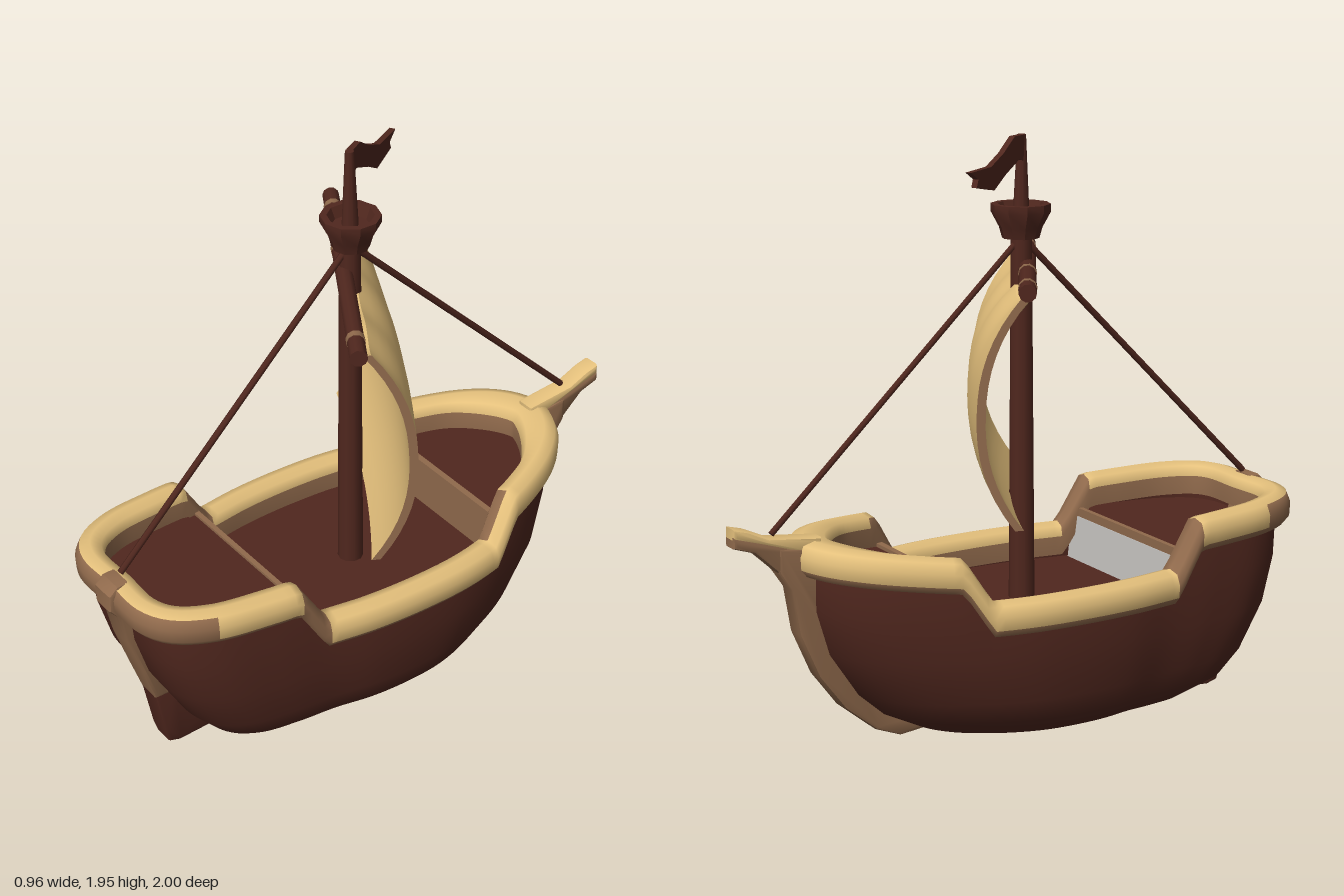
import * as THREE from 'three';
import { toCreasedNormals } from 'three/addons/utils/BufferGeometryUtils.js';

const mat = (name, color) => {
  const m = new THREE.MeshStandardMaterial({ color, side: THREE.DoubleSide });
  m.name = name;
  return m;
};

export function createModel() {
  const wood = mat('dark wood', 0x50271e);
  const tan = mat('pale tan', 0xe4c07c);
  const brown = mat('mid brown', 0x906a4c);
  const grey = mat('light grey', 0xc4c1be);
  const root = new THREE.Group();
  root.name = 'sailingShip';
  const hullGroup = new THREE.Group();
  hullGroup.name = 'hullGroup';
  hullGroup.position.x = -0.02;
  root.add(hullGroup);

  const add = (parent, name, geo, material, pos) => {
    const m = new THREE.Mesh(geo, material);
    m.name = name;
    if (pos) m.position.set(...pos);
    parent.add(m);
    return m;
  };

  // Surface through equally long point rings; pick(j, point) chooses a material slot per face
  const loft = (rings, closed, pick = () => 0) => {
    const n = rings[0].length, slots = [[], []];
    for (let j = 0; j + 1 < rings.length; j++)
      for (let i = 0; i < (closed ? n : n - 1); i++) {
        const k = (i + 1) % n, a = j * n + i, b = j * n + k;
        const mid = rings[j][i].clone().add(rings[j][k]).multiplyScalar(0.5);
        slots[pick(j, mid)].push(a, b, b + n, a, b + n, a + n);
      }
    const g = new THREE.BufferGeometry().setFromPoints(rings.flat());
    g.setIndex(slots.flat());
    g.addGroup(0, slots[0].length, 0);
    g.addGroup(slots[0].length, slots[1].length, 1);
    g.computeVertexNormals();
    return g;
  };

  // Extruded side profile, points given as [z, y]
  const profile = (pts, width, bevel = 0.012) => {
    const g = new THREE.ExtrudeGeometry(new THREE.Shape(pts.map(p => new THREE.Vector2(...p))), {
      depth: width - 2 * bevel, bevelEnabled: true, bevelSize: bevel, bevelThickness: bevel,
      bevelOffset: -bevel, bevelSegments: 2 });
    g.translate(0, 0, bevel - width / 2);
    g.rotateY(-Math.PI / 2);
    return toCreasedNormals(g, 0.6);
  };

  const rod = (parent, name, a, b, r0, r1, material, sides = 10) => {
    const A = new THREE.Vector3(...a), B = new THREE.Vector3(...b), d = B.clone().sub(A);
    const m = add(parent, name, new THREE.CylinderGeometry(r1, r0, d.length(), sides), material);
    m.position.copy(A).add(B).multiplyScalar(0.5);
    m.quaternion.setFromUnitVectors(new THREE.Vector3(0, 1, 0), d.normalize());
  };

  // Plan outline: s runs stern to bow, w is the share of the half width
  const HW = 0.38, ZS = 0.935, ZB = -0.735, N = 160;
  const half = [[0, 0.42], [0.025, 0.63], [0.09, 0.79], [0.2, 0.87], [0.31, 0.91], [0.42, 0.98], [0.54, 1],
    [0.65, 0.97], [0.76, 0.86], [0.86, 0.69], [0.92, 0.54], [0.965, 0.36], [0.99, 0.18]];
  const pt = (s, w) => new THREE.Vector3(w * HW, 0, ZS + (ZB - ZS) * s);
  const curve = new THREE.CatmullRomCurve3([pt(0, 0), ...half.map(([s, w]) => pt(s, w)), pt(1, 0),
    ...half.slice().reverse().map(([s, w]) => pt(s, -w))], true, 'centripetal');
  const outline = curve.getSpacedPoints(N).slice(0, N);

  // Height of the rail centre along the ship
  const sheer = [[1, 0.675], [0.5, 0.655], [0.4, 0.495], [-0.27, 0.49], [-0.36, 0.635], [-0.8, 0.68]];
  const railY = z => {
    const i = Math.max(1, sheer.findIndex(([zs]) => zs <= z));
    const [z0, y0] = sheer[i - 1], [z1, y1] = sheer[i];
    return THREE.MathUtils.mapLinear(z, z0, z1, y0, y1);
  };

  // Hull: layers of [y, stern z, bow z, half width], cut off under the rail
  const layers = [[0.032, 0.1, 0.1, 0.001], [0.035, 0.4, -0.28, 0.2], [0.06, 0.59, -0.38, 0.295],
    [0.12, 0.72, -0.5, 0.36], [0.2, 0.79, -0.59, 0.392], [0.35, 0.875, -0.69, 0.408],
    [0.5, 0.92, -0.735, 0.402], [0.6, 0.93, -0.735, 0.39], [1, ZS, ZB, HW]];
  add(hullGroup, 'hull', loft(layers.map(([y, zs, zb, hw]) => outline.map(p => {
    const z = zs + (zb - zs) * (p.z - ZS) / (ZB - ZS);
    return new THREE.Vector3(p.x * hw / HW, Math.min(y, railY(z)), z);
  })), true), wood);

  // Rail: rounded section swept round the outline, widening inward at the bow
  const section = [[0.03, -0.055], [0.048, -0.032], [0.05, 0.01], [0.036, 0.044], [0, 0.055],
    [-0.036, 0.044], [-0.046, 0.01], [-0.045, -0.055]];
  const railRings = section.map(([u, v]) => outline.map((p, i) => {
    const t = outline[(i + 1) % N].clone().sub(outline[(i + N - 1) % N]).normalize();
    const w = u < 0 ? u * (1 + 0.9 * THREE.MathUtils.smoothstep(-p.z, 0.5, 0.73)) : u;
    return new THREE.Vector3(p.x - t.z * w, railY(p.z) + v, p.z + t.x * w);
  }));
  // Darker on the stern face, the steps and the lower edges
  const railSlot = (j, { z }) => {
    const sternFace = z > 0.8 && j < 3;
    const aftStep = z > 0.4 && z < 0.5;
    const foreStep = z > -0.37 && z < -0.27 && j >= 4;
    return sternFace || aftStep || foreStep || j === 0 || j === 6 ? 1 : 0;
  };
  add(hullGroup, 'rail', loft(railRings, true, railSlot), [tan, brown]);

  // Decks
  const deck = (name, z0, z1, y) => {
    const edge = Math.max(...outline.filter(p => p.z >= z0 && p.z <= z1).map(p => p.x));
    const side = outline.slice(0, N / 2 + 1).map(p =>
      new THREE.Vector3(Math.min(Math.abs(p.x), edge), y, THREE.MathUtils.clamp(p.z, z0, z1)));
    add(hullGroup, name, loft([side, side.map(p => new THREE.Vector3(-p.x, y, p.z))], false), wood);
  };
  deck('mainDeck', -0.34, 0.46, 0.42);
  deck('foreDeck', -0.9, -0.34, 0.58);
  deck('aftDeck', 0.46, 0.95, 0.59);

  // Bulkheads with their trim
  add(hullGroup, 'foreBulkhead', new THREE.BoxGeometry(0.64, 0.16, 0.014), brown, [0, 0.5, -0.34]);
  add(hullGroup, 'foreTrim', new THREE.BoxGeometry(0.64, 0.012, 0.022), brown, [0, 0.586, -0.34]);
  add(hullGroup, 'aftBulkhead', new THREE.BoxGeometry(0.68, 0.17, 0.014), wood, [0, 0.505, 0.46]);
  add(hullGroup, 'aftTrim', new THREE.BoxGeometry(0.68, 0.03, 0.018), brown, [0, 0.584, 0.459]);
  add(hullGroup, 'aftPanel', new THREE.BoxGeometry(0.66, 0.15, 0.009), grey, [0, 0.495, 0.441]).rotation.x = 0.12;

  // Stem, bowsprit, stern post and rudder
  add(hullGroup, 'stem', profile([[-0.3, 0.07], [-0.34, 0.045], [-0.43, 0.035], [-0.52, 0.07], [-0.63, 0.16],
    [-0.72, 0.28], [-0.785, 0.43], [-0.81, 0.58], [-0.85, 0.64], [-0.85, 0.72], [-0.72, 0.7],
    [-0.7, 0.5], [-0.64, 0.35], [-0.52, 0.18], [-0.4, 0.1]], 0.08), brown);
  add(hullGroup, 'bowspritSide', profile([[-0.81, 0.6], [-0.86, 0.65], [-0.93, 0.715], [-1, 0.738], [-1, 0.775],
    [-0.9, 0.745], [-0.76, 0.7]], 0.072), brown);
  add(hullGroup, 'bowspritTop', profile([[-0.76, 0.69], [-0.9, 0.735], [-1, 0.765], [-1, 0.8], [-0.95, 0.787],
    [-0.88, 0.755], [-0.7, 0.735], [-0.7, 0.7]], 0.07), tan);
  add(hullGroup, 'sternPost', profile([[0.8, 0.22], [0.855, 0.22], [0.9, 0.35], [0.95, 0.5], [0.975, 0.61],
    [1, 0.64], [1, 0.7], [0.97, 0.728], [0.93, 0.73], [0.9, 0.6], [0.86, 0.4]], 0.095), brown);
  add(hullGroup, 'rudder', profile([[0.42, 0.07], [0.45, 0.03], [0.58, 0.012], [0.77, 0], [0.81, 0.012],
    [0.825, 0.06], [0.86, 0.24], [0.78, 0.26], [0.6, 0.14]], 0.088), wood);

  // Mast, lookout and stays
  rod(root, 'mast', [-0.02, 0.4, 0.043], [-0.02, 1.64, 0.04], 0.043, 0.034, wood);
  rod(root, 'topMast', [-0.018, 1.62, 0.04], [-0.018, 1.945, 0.042], 0.03, 0.014, wood);
  const nest = [[0, 1.615], [0.06, 1.615], [0.07, 1.65], [0.097, 1.7], [0.097, 1.725], [0.075, 1.725],
    [0.06, 1.69], [0, 1.69]].map(p => new THREE.Vector2(...p));
  add(root, 'lookout', toCreasedNormals(new THREE.LatheGeometry(nest, 10), 0.5), wood, [-0.016, 0, 0.04]);
  rod(root, 'foreStay', [-0.02, 1.6, 0.02], [-0.02, 0.76, -0.86], 0.011, 0.011, wood, 6);
  rod(root, 'aftStay', [-0.02, 1.6, 0.06], [-0.02, 0.74, 0.93], 0.011, 0.011, wood, 6);

  // Yard with lashings
  const P = t => [-0.46 + 0.87 * t, 1.522, -0.2 + 0.52 * t];
  rod(root, 'yard', P(0), P(1), 0.028, 0.028, wood);
  for (const t of [0.09, 0.36, 0.9]) rod(root, 'lashing', P(t - 0.012), P(t + 0.012), 0.03, 0.03, brown);

  // Sail: a slab bellied towards the bow, wider at the foot, with a ragged top edge
  const H = 0.735;
  const sailGeo = new THREE.BoxGeometry(0.925, H, 0.028, 24, 16, 1);
  const sp = sailGeo.attributes.position;
  for (let i = 0; i < sp.count; i++) {
    const u = sp.getX(i) / 0.4625, v = sp.getY(i) / H + 0.5;
    sp.setX(i, sp.getX(i) * (1 + 0.04 * (1 - v)) + 0.015 * (1 - v));
    const belly = 0.13 * (1 - Math.abs(2 * v - 1) ** 2.3);
    sp.setZ(i, sp.getZ(i) - belly - 0.025 * (1 - v) - 0.03 * (1 - u * u) * (1 - 0.5 * v));
    const dip = 0.045 * (1 - u ** 6) + 0.014 * Math.sin(u * 9) * (1 - u * u);
    sp.setY(i, sp.getY(i) - dip * v ** 3);
  }
  sailGeo.computeVertexNormals();
  const sail = add(root, 'sail', sailGeo, [brown, brown, tan, brown, tan, tan], [-0.015, 0.77 + H / 2, 0.05]);
  sail.rotation.y = -0.507;

  // Pennant with a forked tail
  const flagShape = new THREE.Shape([[0, 1.945], [0.07, 1.945], [0.14, 1.9], [0.22, 1.865], [0.345, 1.86],
    [0.3, 1.835], [0.31, 1.81], [0.2, 1.79], [0.13, 1.83], [0.04, 1.87], [0, 1.86]].map(p => new THREE.Vector2(...p)));
  const flagGeo = new THREE.ExtrudeGeometry(flagShape, { depth: 0.02, bevelEnabled: false });
  flagGeo.translate(0, 0, -0.01);
  add(root, 'pennant', flagGeo, wood, [-0.02, 0, 0.045]).rotation.y = 2.1;

  return root;
}
